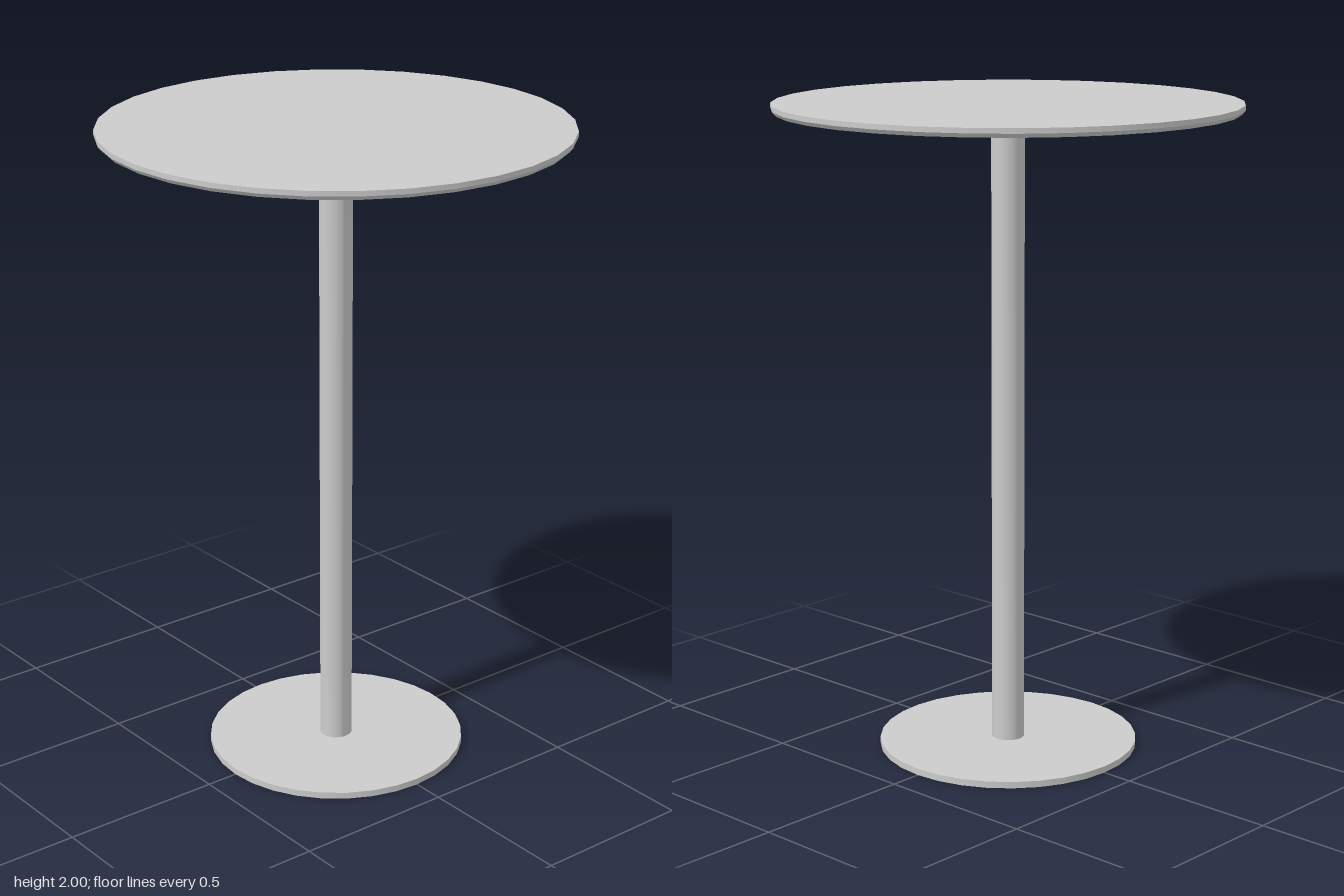
import * as THREE from 'three';
import { toCreasedNormals } from 'three/addons/utils/BufferGeometryUtils.js';

const SEGMENTS = 32;

export function createModel() {
  const group = new THREE.Group();
  group.name = 'pedestalTable';
  const material = new THREE.MeshStandardMaterial({ color: 0xcccccc });

  // Turned part from a [radius, height] profile running bottom to top
  const addTurned = (name, profile) => {
    const points = profile.map(([r, y]) => new THREE.Vector2(r, y));
    const geometry = toCreasedNormals(new THREE.LatheGeometry(points, SEGMENTS), Math.PI / 7);
    const mesh = new THREE.Mesh(geometry, material);
    mesh.name = name;
    group.add(mesh);
  };

  // Flat disc standing on the floor
  addTurned('base', [[0, 0], [0.4, 0], [0.4, 0.02], [0, 0.02]]);

  // Central post between base and top
  addTurned('post', [[0, 0.015], [0.05, 0.015], [0.05, 1.98], [0, 1.98]]);

  // Round top, its lower edge chamfered
  addTurned('tableTop', [[0, 1.973], [0.69, 1.973], [0.7, 1.985], [0.7, 2], [0, 2]]);

  return group;
}
